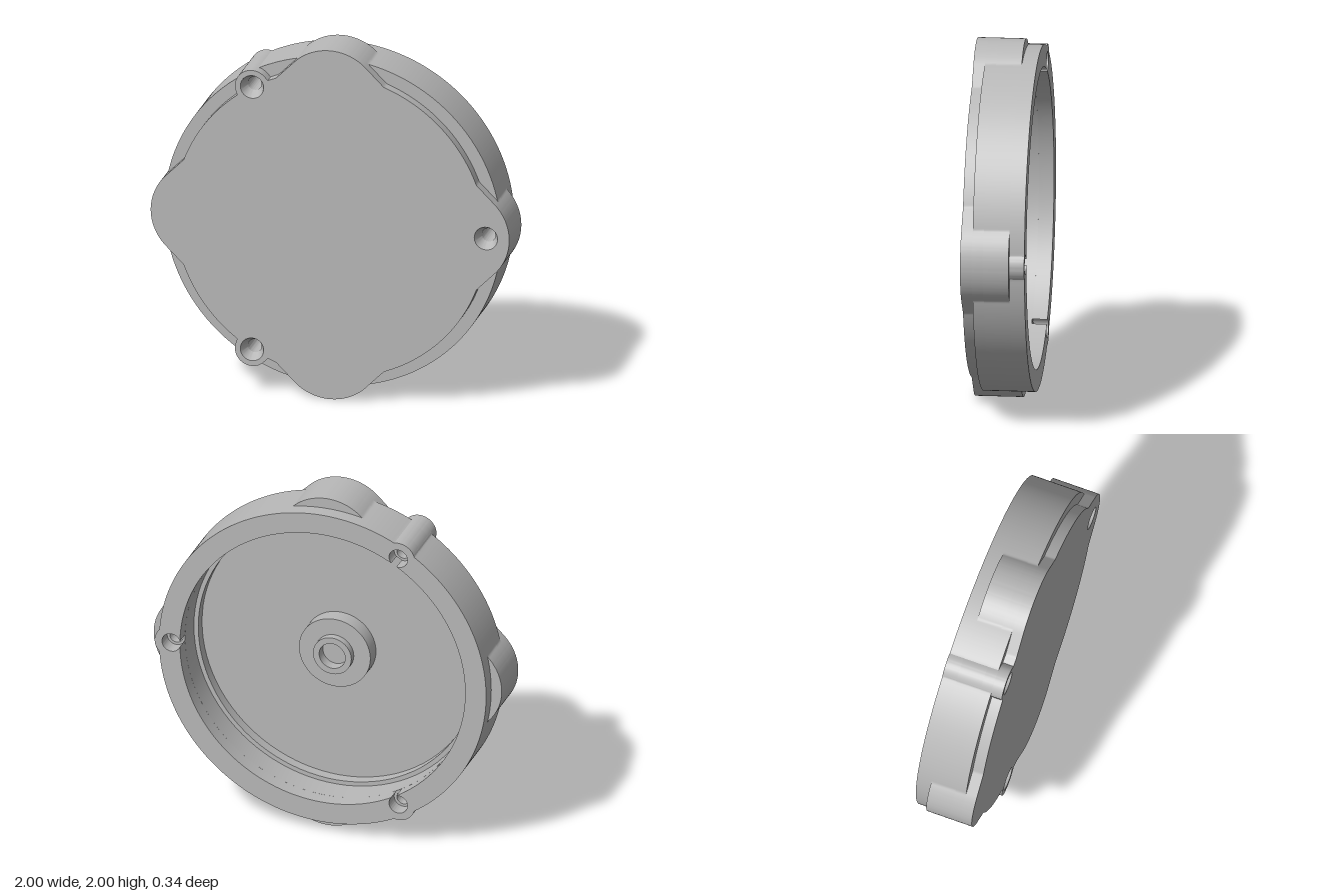
import * as THREE from 'three';
import { toCreasedNormals } from 'three/addons/utils/BufferGeometryUtils.js';

const RING = 0.94, PLATE = 0.87, BOSS_AT = 0.87, BOSS = 0.095;
const Z = { back: -0.172, lobe: -0.09, ledge: 0.05, floor: 0.11, front: 0.172 };
const bossAngles = [0, 1, 2].map(i => i * Math.PI * 2 / 3);
const lobeAngles = [0, 1, 2, 3].map(i => i * Math.PI / 2);

// smallest signed angle between two directions
const diff = (a, b) => Math.atan2(Math.sin(a - b), Math.cos(a - b));

// distance from the axis to the far side of an off-centre circle
function circleReach(phi, d, r) {
  const k = r * r - (d * Math.sin(phi)) ** 2;
  return k < 0 || Math.cos(phi) < 0 ? 0 : d * Math.cos(phi) + Math.sqrt(k);
}

// rounded lobe tip that runs into 45 degree flanks
function lobeReach(phi) {
  const a = Math.abs(phi), r = 0.283, d = 1 - r;
  if (a > Math.PI / 4) return 0;
  if (a < Math.atan2(r * Math.SQRT1_2, d + r * Math.SQRT1_2)) return circleReach(a, d, r);
  return (d + r * Math.SQRT2) / (Math.cos(a) + Math.sin(a));
}

// outline: base circle joined with screw bosses and, if wanted, lobes
function outline(base, withLobes) {
  const pts = [], n = 720;
  for (let i = 0; i < n; i++) {
    const t = i / n * Math.PI * 2;
    let r = base;
    for (const b of bossAngles) r = Math.max(r, circleReach(diff(t, b), BOSS_AT, BOSS));
    if (withLobes) for (const l of lobeAngles) r = Math.max(r, lobeReach(diff(t, l)));
    pts.push(new THREE.Vector2(r * Math.cos(t), r * Math.sin(t)));
  }
  return new THREE.Shape(pts);
}

function circlePath(x, y, r) {
  return new THREE.Path().absarc(x, y, r, 0, Math.PI * 2, false);
}

function addScrewHoles(shape, r) {
  for (const a of bossAngles)
    shape.holes.push(circlePath(BOSS_AT * Math.cos(a), BOSS_AT * Math.sin(a), r));
}

// bore whose wall is broken open by the screw counterbores
function openBore(bore, hole) {
  const x = (bore * bore + BOSS_AT * BOSS_AT - hole * hole) / (2 * BOSS_AT);
  const y = Math.sqrt(bore * bore - x * x);
  const half = Math.atan2(y, x), turn = Math.atan2(y, x - BOSS_AT);
  const path = new THREE.Path();
  for (const a of bossAngles) {
    path.absarc(BOSS_AT * Math.cos(a), BOSS_AT * Math.sin(a), hole, a - turn, a + turn, false);
    path.absarc(0, 0, bore, a + half, a + Math.PI * 2 / 3 - half, false);
  }
  return path;
}

export function createModel() {
  const group = new THREE.Group();
  const body = new THREE.Group();
  body.position.y = 1;
  group.add(body);

  const grey = new THREE.MeshStandardMaterial({ color: 0xb8b8b8 });
  grey.name = 'grey';

  function add(name, geometry) {
    const mesh = new THREE.Mesh(toCreasedNormals(geometry, 0.5), grey);
    mesh.name = name;
    body.add(mesh);
    return mesh;
  }
  function layer(name, shape, z0, z1) {
    const g = new THREE.ExtrudeGeometry(shape, { depth: z1 - z0, bevelEnabled: false, curveSegments: 48 });
    add(name, g.translate(0, 0, z0));
  }
  // turned part, profile given as [radius, z]
  function turned(name, profile, segments) {
    const pts = profile.map(([r, z]) => new THREE.Vector2(r, -z));
    return add(name, new THREE.LatheGeometry(pts, segments).rotateX(-Math.PI / 2));
  }

  // front cover plate
  const plate = outline(PLATE, true);
  addScrewHoles(plate, 0.065);
  layer('frontPlate', plate, Z.floor, Z.front);

  // inner ledge around the floor
  const ledge = outline(RING, true);
  ledge.holes.push(circlePath(0, 0, 0.795));
  addScrewHoles(ledge, 0.038);
  layer('innerLedge', ledge, Z.ledge, Z.floor);

  // wall with the four lobes
  const wall = outline(RING, true);
  wall.holes.push(circlePath(0, 0, 0.82));
  addScrewHoles(wall, 0.038);
  layer('lobedWall', wall, Z.lobe, Z.ledge);

  // plain rear rim with open screw counterbores
  const rim = outline(RING, false);
  rim.holes.push(openBore(0.82, 0.053));
  layer('rearRim', rim, Z.back, Z.lobe);

  // countersinks in the front screw holes
  for (const a of bossAngles) {
    const sink = turned('countersink', [[0.038, Z.floor], [0.065, Z.front]], 40);
    sink.position.set(BOSS_AT * Math.cos(a), BOSS_AT * Math.sin(a), 0);
  }

  // stepped hub on the inside floor
  turned('hub', [[0.205, Z.floor], [0.205, 0.02], [0.11, 0.02], [0.11, -0.02],
    [0.075, -0.02], [0.075, 0.04], [0, 0.04]], 64);

  return group;
}
